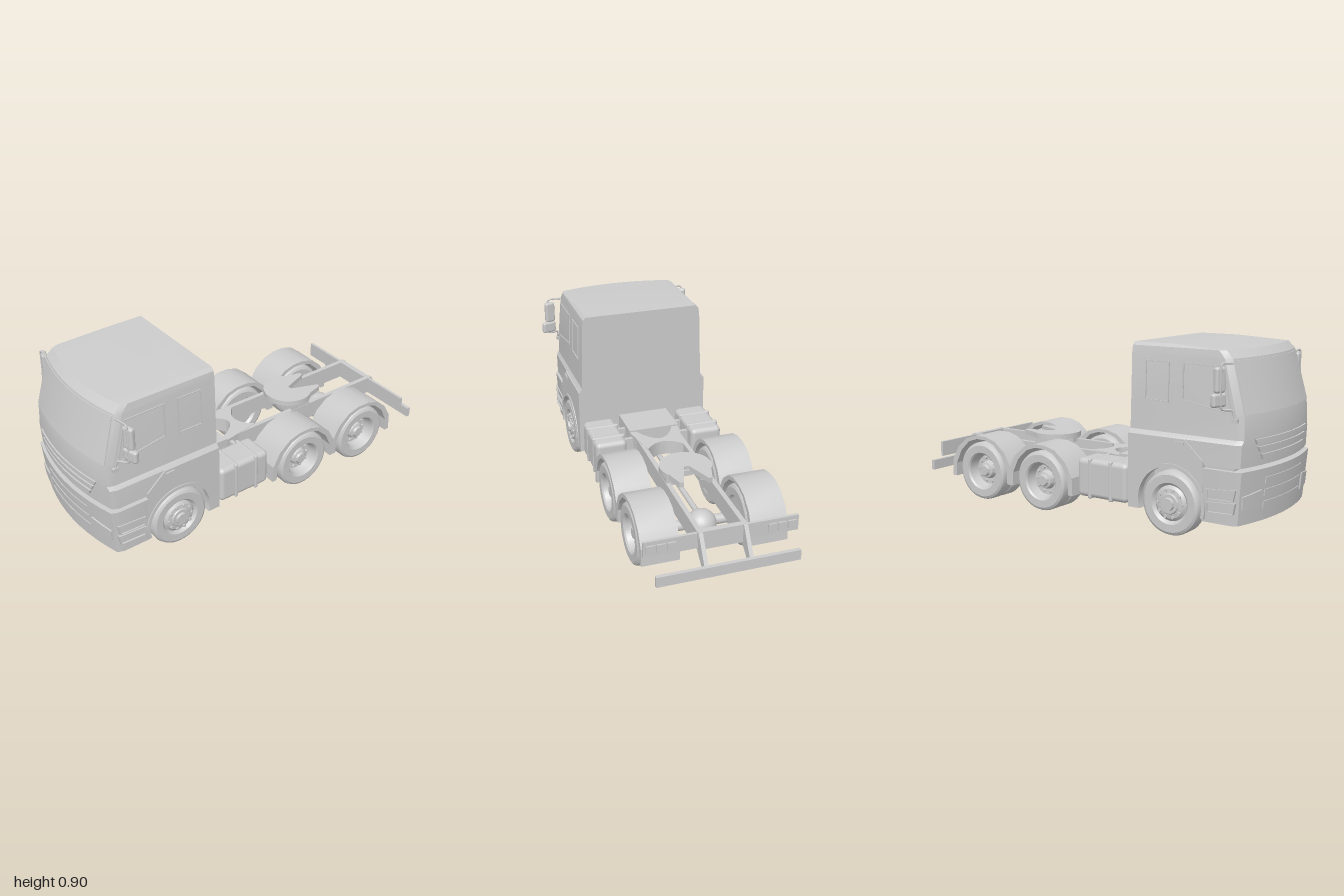
import * as THREE from 'three';
import { toCreasedNormals } from 'three/addons/utils/BufferGeometryUtils.js';
import { RoundedBoxGeometry } from 'three/addons/geometries/RoundedBoxGeometry.js';

const mat = new THREE.MeshStandardMaterial({ color: 0xcccccc });
const lerp = THREE.MathUtils.lerp;

// Body sections: [height, half width, front z, back z]
const CAB = [[0.365, 0.355, 0.985, 0.34], [0.47, 0.355, 0.99, 0.34], [0.49, 0.341, 0.99, 0.34], [0.6, 0.337, 0.985, 0.34],
  [0.85, 0.329, 0.915, 0.34], [0.885, 0.323, 0.88, 0.34], [0.9, 0.308, 0.62, 0.34]];
const BUMPER = [[0.1, 0.354, 0.975, 0.745], [0.35, 0.363, 0.998, 0.745]];

const bow = (x) => 0.45 * x * x;

function frontZ(x, y, rows) {
  let i = 0;
  while (i < rows.length - 2 && y > rows[i + 1][0]) i++;
  const [a, b] = [rows[i], rows[i + 1]];
  return lerp(a[2], b[2], (y - a[0]) / (b[0] - a[0])) - bow(x);
}

// Stack of outlines with a bowed front
function loft(rows) {
  const pos = [], idx = [], n = 10, m = n + 5;
  for (const [y, w, zf, zb] of rows) {
    const corner = zf - bow(w) - 0.03;
    pos.push(-w, y, zb, -w, y, corner);
    for (let k = 0; k <= n; k++) {
      const x = (w - 0.012) * (2 * k / n - 1);
      pos.push(x, y, zf - bow(x));
    }
    pos.push(w, y, corner, w, y, zb);
  }
  for (let i = 0; i < rows.length - 1; i++) for (let j = 0; j < m; j++) {
    const a = i * m + j, b = i * m + (j + 1) % m;
    idx.push(a, b, b + m, a, b + m, a + m);
  }
  const top = (rows.length - 1) * m;
  for (let k = 1; k < m - 1; k++) idx.push(top, top + k, top + k + 1, 0, k + 1, k);
  const g = new THREE.BufferGeometry();
  g.setAttribute('position', new THREE.Float32BufferAttribute(pos, 3));
  g.setIndex(idx);
  return toCreasedNormals(g, 0.35);
}

// Thin panel laid on the bowed front; corners run bl, br, tr, tl
function frontPanel([bl, br, tr, tl], rows, t) {
  const g = new THREE.BoxGeometry(1, 1, 1, 10, 1, 1), p = g.attributes.position;
  for (let i = 0; i < p.count; i++) {
    const u = p.getX(i) + 0.5, v = p.getY(i) + 0.5;
    const x = lerp(lerp(bl[0], br[0], u), lerp(tl[0], tr[0], u), v);
    const y = lerp(lerp(bl[1], br[1], u), lerp(tl[1], tr[1], u), v);
    p.setXYZ(i, x, y, frontZ(x, y, rows) + (p.getZ(i) > 0 ? t : -0.01));
  }
  return toCreasedNormals(g, 0.35);
}

const outline = (pts) => new THREE.Shape(pts.map(([a, b]) => new THREE.Vector2(a, b)));

// Shape drawn in (z, y), extruded from x0 to x1
function plateX(shape, x0, x1) {
  const g = new THREE.ExtrudeGeometry(shape, { depth: x1 - x0, bevelEnabled: false, curveSegments: 20 });
  return toCreasedNormals(g.rotateY(-Math.PI / 2).translate(x1, 0, 0), 0.4);
}
// Shape drawn in (x, -z), extruded from y0 to y1
function plateY(shape, y0, y1) {
  const g = new THREE.ExtrudeGeometry(shape, { depth: y1 - y0, bevelEnabled: false, curveSegments: 24 });
  return toCreasedNormals(g.rotateX(-Math.PI / 2).translate(0, y0, 0), 0.4);
}

// Window frame in (z, y) with an inset opening
function frameShape(pts, border = 0.93) {
  const c = pts.reduce((s, p) => [s[0] + p[0] / pts.length, s[1] + p[1] / pts.length], [0, 0]);
  const s = outline(pts);
  s.holes.push(outline(pts.map((p) => [lerp(c[0], p[0], border), lerp(c[1], p[1], border)])));
  return s;
}

export function createModel() {
  const root = new THREE.Group();
  const add = (name, geo, parent = root) => {
    const m = new THREE.Mesh(geo, mat);
    m.name = name;
    parent.add(m);
    return m;
  };
  const box = (name, x0, x1, y0, y1, z0, z1) => add(name,
    new THREE.BoxGeometry(x1 - x0, y1 - y0, z1 - z0).translate((x0 + x1) / 2, (y0 + y1) / 2, (z0 + z1) / 2));
  // Same box on both sides
  const pair = (name, x0, x1, ...r) => { box(name, x0, x1, ...r); box(name, -x1, -x0, ...r); };
  const pairPlate = (name, s, x0, x1) => { add(name, plateX(s, x0, x1)); add(name, plateX(s, -x1, -x0)); };

  // Cab and bumper
  add('cab', loft(CAB));
  add('bumper', loft(BUMPER));
  box('bumperGap', -0.34, 0.34, 0.34, 0.37, 0.4, 0.9);
  box('cabFloor', -0.22, 0.22, 0.13, 0.37, 0.38, 0.76);
  box('cabBackPanel', -0.355, 0.355, 0.11, 0.37, 0.34, 0.4);
  const rect = (w0, w1, y0, y1) => [[-w0, y0], [w0, y0], [w1, y1], [-w1, y1]];
  add('windscreen', frontPanel(rect(0.318, 0.308, 0.605, 0.84), CAB, 0.004));
  for (const [w0, w1, y0, y1] of [[0.253, 0.265, 0.468, 0.49], [0.23, 0.243, 0.43, 0.454], [0.207, 0.22, 0.392, 0.417]])
    add('grilleSlat', frontPanel(rect(w0, w1, y0, y1), CAB, 0.008));
  for (const y of [0.16, 0.217, 0.275]) add('bumperSlat', frontPanel(rect(0.185, 0.185, y, y + 0.032), BUMPER, 0.004));
  add('headlight', frontPanel([[0.21, 0.17], [0.33, 0.175], [0.335, 0.235], [0.21, 0.253]].map(([x, y]) => [x, y]), BUMPER, 0.008));
  add('headlight', frontPanel([[-0.33, 0.175], [-0.21, 0.17], [-0.21, 0.253], [-0.335, 0.235]], BUMPER, 0.008));

  // Lower cab sides with wheel arch
  const side = outline([[0.34, 0.11], [0.407, 0.11]]);
  side.absarc(0.575, 0.16, 0.175, Math.PI + 0.29, -0.29, true);
  [[0.75, 0.11], [0.75, 0.38], [0.65, 0.47], [0.34, 0.47]].forEach(([a, b]) => side.lineTo(a, b));
  pairPlate('cabSidePanel', side, 0.325, 0.362);
  const lip = new THREE.Shape();
  lip.absarc(0.575, 0.16, 0.19, -0.25, Math.PI + 0.25, false);
  lip.absarc(0.575, 0.16, 0.173, Math.PI + 0.25, -0.25, true);
  pairPlate('archLip', lip, 0.33, 0.367);
  for (const y of [0.15, 0.21])
    pairPlate('stepFrame', frameShape([[0.77, y], [0.91, y + 0.005], [0.92, y + 0.058], [0.77, y + 0.048]], 0.9), 0.34, 0.366);

  // Side windows lean with the cab wall
  const wallX = (y) => 0.341 - 0.034 * (y - 0.49);
  const windows = [[[0.62, 0.645], [0.885, 0.602], [0.835, 0.815], [0.62, 0.82]], [[0.42, 0.63], [0.55, 0.63], [0.55, 0.82], [0.42, 0.82]]];
  for (const pts of windows) for (const s of [1, -1]) {
    const g = plateX(frameShape(pts), -0.005, 0.005), p = g.attributes.position;
    for (let i = 0; i < p.count; i++) p.setX(i, p.getX(i) + s * wallX(p.getY(i)));
    add('sideWindowFrame', g);
  }
  pair('doorHandle', 0.355, 0.369, 0.445, 0.458, 0.6, 0.65);

  // Mirrors on bent arms
  for (const s of [1, -1]) {
    const arm = new THREE.CatmullRomCurve3([[0.32, 0.83, 0.87], [0.385, 0.835, 0.86], [0.403, 0.825, 0.86], [0.405, 0.73, 0.86],
      [0.403, 0.64, 0.86], [0.385, 0.63, 0.865], [0.348, 0.625, 0.89], [0.343, 0.575, 0.9]]
      .map(([x, y, z]) => new THREE.Vector3(s * x, y, z)), false, 'catmullrom', 0.2);
    add('mirrorArm', new THREE.TubeGeometry(arm, 40, 0.005, 8));
    for (const [w, h, x, y] of [[0.057, 0.115, 0.396, 0.763], [0.08, 0.062, 0.404, 0.674]]) {
      const m = add('mirror', new RoundedBoxGeometry(w, h, 0.03, 2, 0.012));
      m.position.set(s * x, y, 0.848);
      m.rotation.y = s * 0.3;
    }
    box('mirrorBracket', s * 0.343 - 0.008, s * 0.343 + 0.008, 0.57, 0.588, 0.885, 0.915);
  }

  // Wheels: profile from inner centre to outer centre as [radius, axis]
  const tyre = [[0, -0.03], [0.09, -0.03], [0.1, -0.046], [0.138, -0.047], [0.15, -0.04], [0.155, -0.028],
    [0.155, 0.028], [0.15, 0.04], [0.138, 0.047], [0.1, 0.046], [0.092, 0.038]];
  const frontRim = [[0.086, 0.03], [0.072, 0.042], [0.05, 0.046], [0.046, 0.052], [0.031, 0.052], [0.028, 0.064], [0, 0.064]];
  const rearRim = [[0.086, 0.01], [0.08, -0.012], [0.05, -0.014], [0.042, 0.012], [0.03, 0.016], [0.025, 0.028], [0, 0.028]];
  const lathe = (pts) => toCreasedNormals(new THREE.LatheGeometry(pts.map(([r, a]) => new THREE.Vector2(r, a)), 40).rotateZ(-Math.PI / 2), 0.5);
  function wheel(name, s, x, z, rim, boltR, boltX) {
    const g = new THREE.Group();
    g.name = name;
    add('tyreAndRim', lathe([...tyre, ...rim]), g);
    for (let i = 0; i < 10; i++) {
      const a = i * Math.PI / 5;
      add('wheelBolt', new THREE.CylinderGeometry(0.008, 0.008, 0.016, 10).rotateZ(Math.PI / 2)
        .translate(boltX, boltR * Math.sin(a), boltR * Math.cos(a)), g);
    }
    g.position.set(s * x, 0.157, z);
    if (s < 0) g.rotation.y = Math.PI;
    root.add(g);
  }
  for (const s of [1, -1]) {
    wheel('frontWheel', s, 0.317, 0.575, frontRim, 0.066, 0.043);
    for (const z of [-0.205, -0.61]) {
      wheel('rearOuterWheel', s, 0.317, z, rearRim, 0.066, -0.01);
      wheel('rearInnerWheel', s, 0.226, z, rearRim, 0.066, -0.01);
    }
  }

  // Rear mudguards
  const arc = [[0.21, 0.11], [0.207, 0.2], [0.165, 0.275], [0.1, 0.328], [0.035, 0.347]];
  const guard = [...arc, ...arc.map(([z, y]) => [-z, y]).reverse()];
  const inner = guard.map(([z, y]) => [z * 0.87, y > 0.12 ? y - 0.018 : y]).reverse();
  for (const z0 of [-0.205, -0.61])
    pairPlate('mudguard', outline([...guard, ...inner].map(([z, y]) => [z + z0, y])), 0.178, 0.366);

  // Fuel tanks with straps and brackets
  for (const s of [1, -1]) {
    add('fuelTank', new RoundedBoxGeometry(0.17, 0.195, 0.3, 3, 0.025).translate(s * 0.265, 0.21, 0.172));
    for (const z of [0.1, 0.225]) {
      add('tankStrap', new RoundedBoxGeometry(0.178, 0.203, 0.02, 2, 0.008).translate(s * 0.265, 0.21, z));
      box('tankBracket', s * 0.155 - 0.035, s * 0.155 + 0.035, 0.2, 0.28, z - 0.01, z + 0.01);
    }
  }

  // Chassis
  pair('chassisRail', 0.098, 0.122, 0.2, 0.295, -0.9, 0.4);
  box('deck', -0.137, 0.137, 0.2, 0.305, 0.13, 0.345);
  const gusset = outline([[-0.137, -0.13], [-0.1, 0.08]]);
  gusset.quadraticCurveTo(0, -0.04, 0.1, 0.08);
  gusset.lineTo(0.137, -0.13);
  gusset.lineTo(0.1, -0.13);
  gusset.quadraticCurveTo(0, 0.09, -0.1, -0.13);
  add('crossmember', plateY(gusset, 0.22, 0.297));
  box('rearCrossmember', -0.11, 0.11, 0.2, 0.295, -0.9, -0.87);

  // Rear lamps and underrun bar
  pair('lampPlate', 0.11, 0.38, 0.21, 0.29, -0.895, -0.88);
  for (const x of [0.225, 0.275, 0.325]) pair('rearLamp', x, x + 0.042, 0.23, 0.27, -0.903, -0.89);
  pairPlate('underrunArm', outline([[-0.87, 0.21], [-0.975, 0.12], [-0.99, 0.16], [-0.905, 0.295], [-0.87, 0.295]]), 0.1, 0.12);
  box('underrunBar', -0.352, 0.352, 0.115, 0.168, -1, -0.98);

  // Coupling plate with rear slot
  const plate = outline([[0.012, 0.4], [0.065, 0.545], [0.085, 0.54], [0.11, 0.45]]);
  plate.absarc(0, 0.385, 0.132, 0.5, Math.PI - 0.5, true);
  [[-0.11, 0.45], [-0.085, 0.54], [-0.065, 0.545], [-0.012, 0.4]].forEach(([a, b]) => plate.lineTo(a, b));
  add('couplingPlate', plateY(plate, 0.322, 0.35));
  pair('couplingMount', 0.06, 0.12, 0.28, 0.325, -0.44, -0.32);
  box('couplingLock', -0.03, 0.03, 0.3, 0.33, -0.41, -0.38);

  // Drive line
  add('driveshaft', new THREE.CylinderGeometry(0.014, 0.014, 0.98, 16).rotateX(Math.PI / 2).translate(0, 0.18, -0.12));
  add('differential', new THREE.SphereGeometry(0.075, 24, 16).translate(0, 0.15, -0.62));
  add('rearAxle', new THREE.CylinderGeometry(0.026, 0.026, 0.4, 16).rotateZ(Math.PI / 2).translate(0, 0.157, -0.615));
  return root;
}
